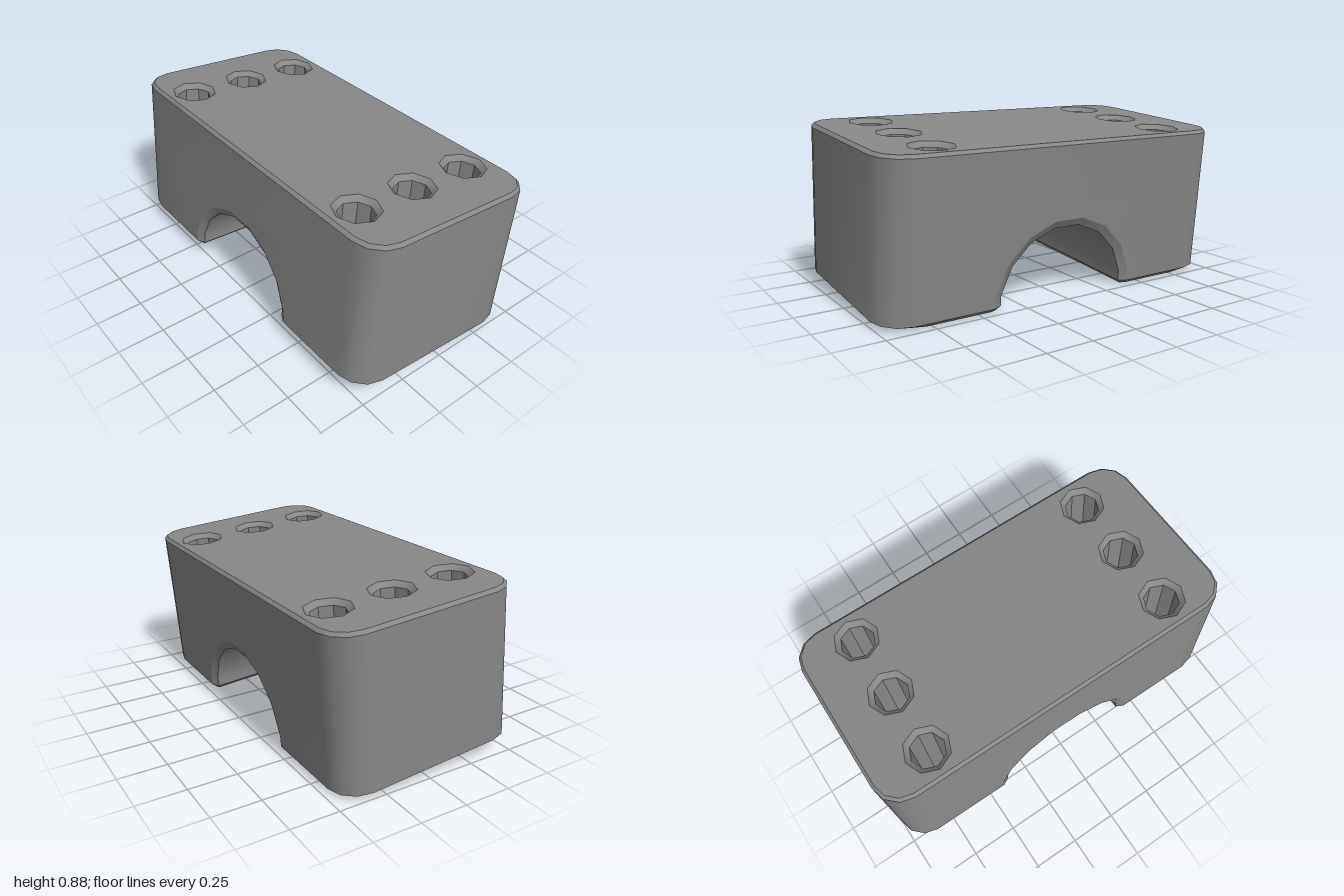
import * as THREE from 'three';
import { mergeGeometries, toCreasedNormals } from 'three/addons/utils/BufferGeometryUtils.js';

const W = 1.007, H = 0.81, L = 1;        // width, height, half length
const C = 0.022, TOP_C = 0.016, R = 0.15; // lower and upper edge chamfers, corner radius
const END_BEVEL = 0.08;                  // extra length of the shallow bevel under each end
const ARCH = 0.382, ARCH_CHAMFER = 0.042;
const HOLE = 0.09, HOLE_RIM = 0.118, HOLE_Z = 0.692, HOLE_STEP = 0.342;
const TILT = THREE.MathUtils.degToRad(4.5);
const V = (x, y, z) => new THREE.Vector3(x, y, z);

// Skin between two rows of points
function strip(a, b, closed = false) {
  const pos = [];
  const n = a.length;
  for (let i = 0; i < (closed ? n : n - 1); i++) {
    const j = (i + 1) % n;
    for (const p of [a[i], a[j], b[j], a[i], b[j], b[i]]) pos.push(p.x, p.y, p.z);
  }
  return new THREE.BufferGeometry().setAttribute('position', new THREE.Float32BufferAttribute(pos, 3));
}

// Flat face from 2D points, with optional round holes
function face(points, holes = []) {
  const shape = new THREE.Shape(points.map(([x, y]) => new THREE.Vector2(x, y)));
  for (const [x, y, r] of holes) {
    shape.holes.push(new THREE.Path(ring(x, y, r, 0).map((p) => new THREE.Vector2(p.x, p.z))));
  }
  const g = new THREE.ShapeGeometry(shape).toNonIndexed();
  g.deleteAttribute('uv');
  g.deleteAttribute('normal');
  return g;
}

// Octagonal ring around a vertical axis
function ring(x, z, r, y) {
  return Array.from({ length: 8 }, (_, i) => {
    const a = (i * Math.PI) / 4;
    return V(x + r * Math.cos(a), y, z - r * Math.sin(a));
  });
}

// Rounded outline of the -z end, from the +x side to the -x side
function endRow(y, inset, pullIn = 0) {
  const pts = [], r = R - inset;
  for (const [sx, start] of [[1, 0], [-1, Math.PI / 2]]) {
    for (let i = 0; i <= 3; i++) {
      const a = start + (i * Math.PI) / 6;
      pts.push(V(sx * (W / 2 - R) + r * Math.cos(a), y, pullIn - (L - R) - r * Math.sin(a)));
    }
  }
  return pts;
}

// Arch outline, a half sixteen-sided ring running from +z to -z
function archRow(x, r) {
  const side = r * Math.cos(Math.PI / 16);
  const pts = [V(x, C, side)];
  for (let i = 0; i < 8; i++) {
    const a = ((i + 0.5) * Math.PI) / 8;
    pts.push(V(x, r * Math.sin(a), r * Math.cos(a)));
  }
  pts.push(V(x, C, -side));
  return pts;
}

const withTurned = (list) => list.flatMap((g) => [g, g.clone().rotateY(Math.PI)]);

export function createModel() {
  const model = new THREE.Group();
  const block = new THREE.Group();
  block.name = 'clampBlock';
  const material = new THREE.MeshStandardMaterial({ color: 0x878787 });
  const add = (name, parts) => {
    const mesh = new THREE.Mesh(toCreasedNormals(mergeGeometries(parts), 0.6), material);
    mesh.name = name;
    block.add(mesh);
  };

  const xs = [-HOLE_STEP, 0, HOLE_STEP];
  const inner = ARCH * Math.cos(Math.PI / 16);
  const outer = (ARCH + ARCH_CHAMFER) * Math.cos(Math.PI / 16);
  const xe = W / 2 - C;

  // Side walls: rounded ends and flat sides notched by the arch
  const notch = archRow(0, ARCH + ARCH_CHAMFER).map((p) => [-p.z, p.y]);
  const zs = L - R;
  const side = face([[-zs, C], ...notch, [zs, C], [zs, H - TOP_C], [-zs, H - TOP_C]]);
  side.rotateY(Math.PI / 2).translate(W / 2, 0, 0);
  add('sideWalls', withTurned([strip(endRow(C, 0), endRow(H - TOP_C, 0)), side]));

  // Top face with its chamfered edge
  const halfLoop = (y, inset) => {
    const row = endRow(y, inset);
    return [...row, V(-row[0].x, y, -row[0].z)];
  };
  const topRow = endRow(H, TOP_C).map((p) => [p.x, -p.z]);
  const top = face([...topRow, ...topRow.map(([x, y]) => [-x, -y])],
    xs.flatMap((x) => [[x, HOLE_Z, HOLE_RIM], [x, -HOLE_Z, HOLE_RIM]]));
  top.rotateX(-Math.PI / 2).translate(0, H, 0);
  add('topFace', [top, ...withTurned([strip(halfLoop(H - TOP_C, 0), halfLoop(H, TOP_C))])]);

  // Feet on both sides of the arch, bevelled all round
  const footEdge = [
    V(W / 2, C, -outer), ...endRow(C, 0), V(-W / 2, C, -outer),
    V(-xe, C, -inner), V(xe, C, -inner)];
  const footBase = [
    V(xe, 0, -outer - C / 2), ...endRow(0, C, END_BEVEL), V(-xe, 0, -outer - C / 2),
    V(-xe + C / 2, 0, -inner - C), V(xe - C / 2, 0, -inner - C)];
  const sole = face(footBase.map((p) => [p.x, p.z]), xs.map((x) => [x, -HOLE_Z, HOLE]));
  sole.rotateX(Math.PI / 2);
  add('soles', withTurned([sole]));
  add('footBevels', withTurned([strip(footBase, footEdge, true)]));

  // Arch tunnel with chamfered mouths
  add('archTunnel', [
    strip(archRow(-xe, ARCH), archRow(xe, ARCH)),
    ...withTurned([strip(archRow(xe, ARCH), archRow(W / 2, ARCH + ARCH_CHAMFER))])]);

  // Countersunk bolt holes
  for (const z of [-HOLE_Z, HOLE_Z]) {
    for (const x of xs) {
      const neck = ring(x, z, HOLE, H - 0.025);
      add('boltHole', [
        strip(ring(x, z, HOLE_RIM, H), neck, true),
        strip(neck, ring(x, z, HOLE, 0), true)]);
    }
  }

  // Lean the block sideways so one lower edge rests on the ground
  for (const part of block.children) part.position.y = -H / 2;
  block.rotation.z = -TILT;
  block.position.set(-0.002, (H / 2) * Math.cos(TILT) + xe * Math.sin(TILT), 0);
  model.add(block);
  return model;
}
